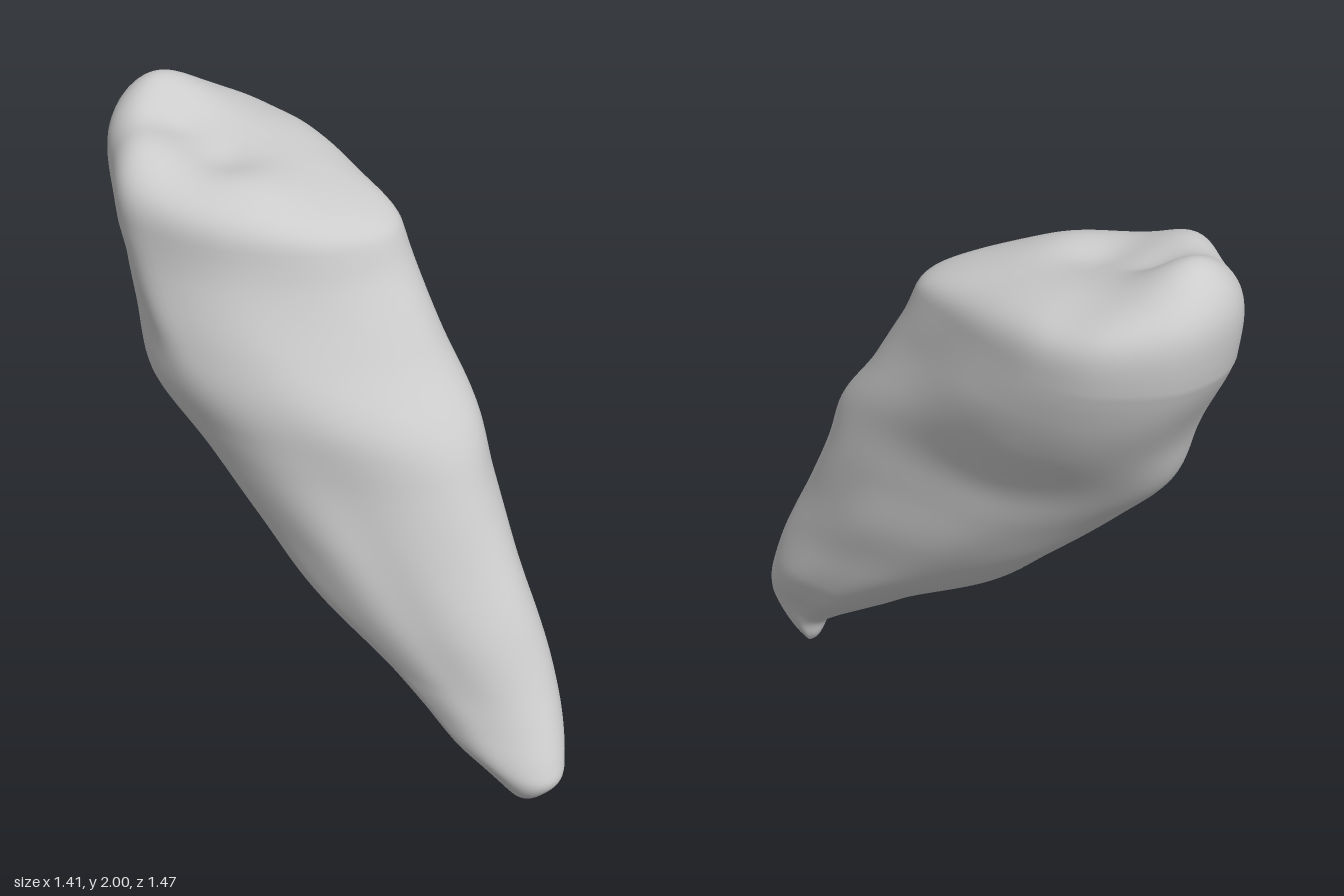
import * as THREE from 'three';

// Horizontal sections: y, min x, max x, min z, max z, half width across the narrow diagonal
const SECTIONS = [
  [0.00, 0.545, 0.59, 0.535, 0.59, 0.03],
  [0.03, 0.53, 0.625, 0.515, 0.65, 0.055],
  [0.10, 0.49, 0.675, 0.49, 0.72, 0.095],
  [0.15, 0.43, 0.70, 0.45, 0.74, 0.115],
  [0.20, 0.36, 0.705, 0.40, 0.725, 0.135],
  [0.30, 0.25, 0.70, 0.29, 0.675, 0.165],
  [0.40, 0.14, 0.68, 0.19, 0.63, 0.19],
  [0.60, -0.11, 0.62, -0.03, 0.565, 0.235],
  [0.80, -0.27, 0.55, -0.20, 0.49, 0.27],
  [1.00, -0.43, 0.49, -0.34, 0.42, 0.295],
  [1.20, -0.58, 0.43, -0.47, 0.36, 0.325],
  [1.40, -0.625, 0.33, -0.59, 0.25, 0.345],
  [1.60, -0.675, 0.24, -0.69, 0.15, 0.36],
  [1.72, -0.705, 0.20, -0.73, 0.115, 0.37],
];
const sectionAt = new THREE.CubicInterpolant(
  SECTIONS.map((s) => s[0]), SECTIONS.flatMap((s) => s.slice(1)), 5);

const SIDES = 96, BODY_RINGS = 90, CAP_RINGS = 36, CAP_BASE = 1.68;

// Crown outline seen from above (x, z), later scaled to each section
const CROWN = new THREE.CatmullRomCurve3([
  [0.19, -0.08], [0.15, 0.02], [0.04, 0.08], [-0.14, 0.11], [-0.35, 0.09], [-0.53, 0.01], [-0.64, -0.08],
  [-0.69, -0.27], [-0.705, -0.47], [-0.65, -0.61], [-0.5, -0.725], [-0.28, -0.72], [-0.12, -0.62],
  [0, -0.47], [0.1, -0.28],
].map(([x, z]) => new THREE.Vector3((x + 0.2575) / 0.4475, 0, (z + 0.31) / 0.42)), true)
  .getSpacedPoints(SIDES);

const bump = (d, w) => Math.exp(-(d * d) / (w * w));
const bump2 = (x, z, cx, cz, w) => bump(Math.hypot(x - cx, z - cz), w);

// Point j of the ring at height y: a slanted ellipse on the root, blending into the crown outline
function outline(y, j) {
  const t = (j / SIDES) * Math.PI * 2;
  const [x0, x1, z0, z1, w] = sectionAt.evaluate(y);
  const hx = (x1 - x0) / 2, hz = (z1 - z0) / 2;
  const lean = THREE.MathUtils.clamp((hx * hx + hz * hz - 2 * w * w) / (2 * hx * hz), -0.9, 0.9);
  const phi = Math.acos(lean);
  const side = Math.cos(t - phi / 2); // zero in the middle of each flat side
  const shift = 0.053 * Math.max(0, y - 0.4) * (1 - side * side) ** 2;
  const k = THREE.MathUtils.smoothstep(y, 1.1, 1.55);
  const blunt = 0.06 * bump(side + 0.45, 0.25) * (1 - k); // fuller rear edges of the root
  const hollow = 0.05 * bump(side - 0.5, 0.22) * bump(y - 0.75, 0.35);
  const ripple = 0.007 * Math.sin(3 * t + 7 * y) * Math.sin(11 * y + 2 * t)
    + 0.005 * Math.sin(5 * t - 9 * y);
  const r = 1 + blunt - hollow + ripple;
  return {
    cx: (x0 + x1) / 2,
    cz: (z0 + z1) / 2,
    dx: r * THREE.MathUtils.lerp(hx * Math.cos(t) - shift, hx * CROWN[j].x, k),
    dz: r * THREE.MathUtils.lerp(hz * Math.cos(t - phi) + shift, hz * CROWN[j].z, k),
  };
}

// Height of the chewing surface: sloping, with cusps and a groove between them
function chewingHeight(x, z) {
  return 1.81 - 0.14 * x - 0.09 * z
    + 0.09 * bump2(x, z, -0.55, -0.53, 0.16)
    + 0.045 * bump2(x, z, -0.63, -0.2, 0.14)
    + 0.02 * bump2(x, z, -0.25, -0.05, 0.14)
    - 0.035 * bump2(x, z, -0.48, -0.38, 0.1)
    - 0.03 * bump2(x, z, -0.34, -0.22, 0.12)
    - 0.02 * bump2(x, z, -0.2, -0.62, 0.14);
}

function toothGeometry() {
  const pos = [], index = [];
  // Root and crown wall
  for (let i = 0; i <= BODY_RINGS; i++) {
    const y = CAP_BASE * Math.pow(i / BODY_RINGS, 1.2);
    for (let j = 0; j < SIDES; j++) {
      const p = outline(y, j);
      pos.push(p.cx + p.dx, y, p.cz + p.dz);
    }
  }
  // Rounded rim and chewing surface, shrinking to a centre
  const base = Array.from({ length: SIDES }, (_, j) => outline(CAP_BASE, j));
  for (let i = 1; i < CAP_RINGS; i++) {
    const a = (i / CAP_RINGS) * Math.PI / 2;
    const s = Math.pow(Math.cos(a), 0.55), h = Math.pow(Math.sin(a), 0.55);
    for (const p of base) {
      const x = p.cx - 0.035 * h + p.dx * s, z = p.cz - 0.03 * h + p.dz * s;
      pos.push(x, CAP_BASE + (chewingHeight(x, z) - CAP_BASE) * h, z);
    }
  }
  const rings = BODY_RINGS + CAP_RINGS;
  for (let i = 0; i < rings - 1; i++) {
    for (let j = 0; j < SIDES; j++) {
      const k = (j + 1) % SIDES;
      const a = i * SIDES + j, b = i * SIDES + k, c = a + SIDES, d = b + SIDES;
      index.push(a, c, b, b, c, d);
    }
  }
  // Close the root tip and the top
  const tip = pos.length / 3, top = tip + 1, last = (rings - 1) * SIDES;
  const tx = base[0].cx - 0.035, tz = base[0].cz - 0.03;
  pos.push(0.57, 0, 0.565, tx, chewingHeight(tx, tz), tz);
  for (let j = 0; j < SIDES; j++) {
    const k = (j + 1) % SIDES;
    index.push(tip, j, k, last + j, top, last + k);
  }
  const geo = new THREE.BufferGeometry();
  geo.setAttribute('position', new THREE.Float32BufferAttribute(pos, 3));
  geo.setIndex(index);
  geo.computeVertexNormals();
  return geo;
}

export function createModel() {
  const group = new THREE.Group();
  group.name = 'tooth';
  const tooth = new THREE.Mesh(toothGeometry(), new THREE.MeshStandardMaterial({ color: 0xcccccc }));
  tooth.name = 'crownAndRoot';
  group.add(tooth);
  return group;
}
